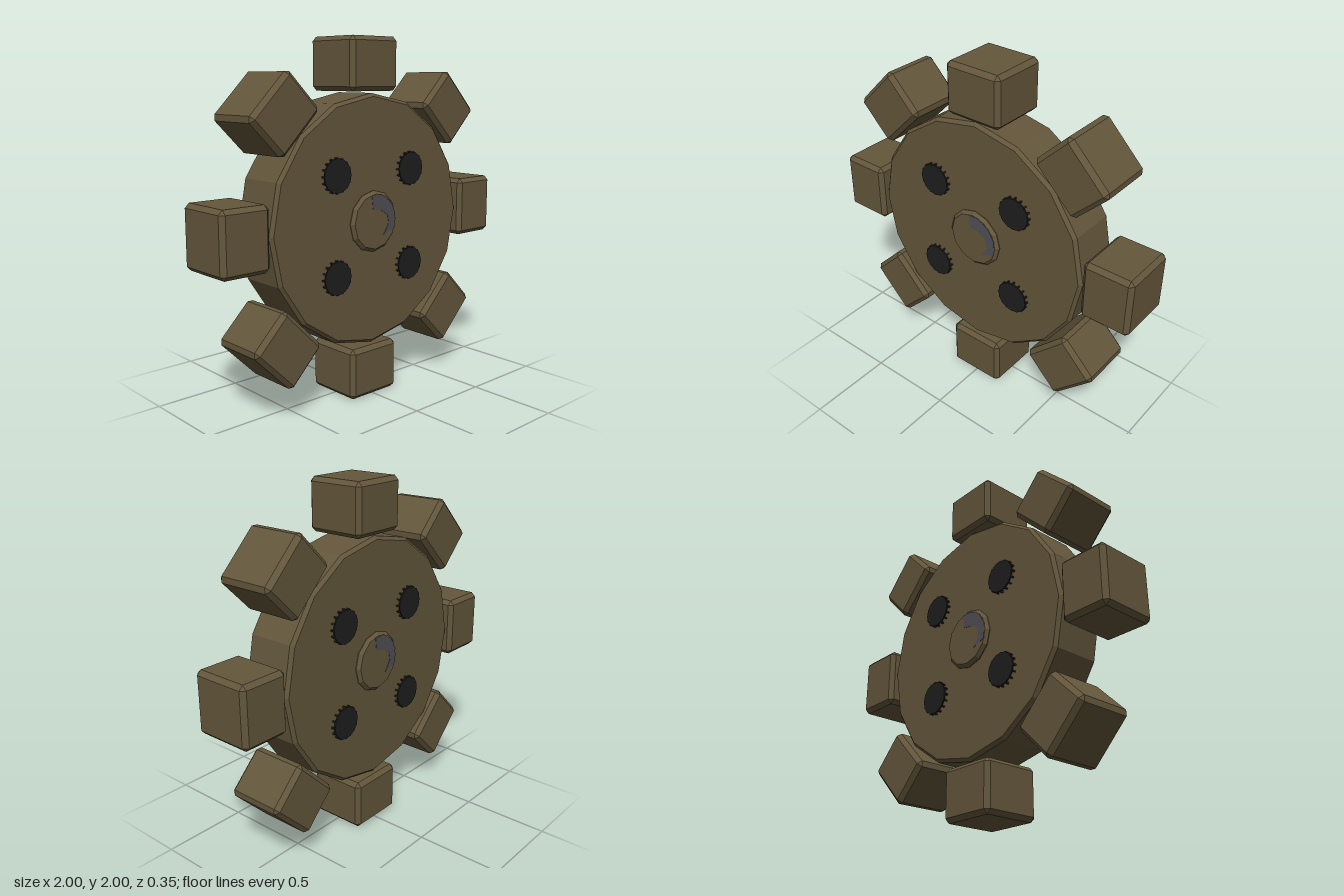
import * as THREE from 'three';
import { ConvexGeometry } from 'three/addons/geometries/ConvexGeometry.js';

const mat = (name, color) => {
  const m = new THREE.MeshStandardMaterial({ color });
  m.name = name;
  return m;
};

// Box with flat chamfers on every edge
function chamferBox(w, h, d, c) {
  const pts = [];
  for (const sx of [-1, 1]) for (const sy of [-1, 1]) for (const sz of [-1, 1]) {
    const x = w / 2, y = h / 2, z = d / 2;
    pts.push(new THREE.Vector3(sx * x, sy * (y - c), sz * (z - c)));
    pts.push(new THREE.Vector3(sx * (x - c), sy * y, sz * (z - c)));
    pts.push(new THREE.Vector3(sx * (x - c), sy * (y - c), sz * z));
  }
  return new ConvexGeometry(pts);
}

// Faceted disc with chamfered rims, its axis along z
function chamferDisc(r, half, c, sides) {
  const profile = [[0, -half], [r - c, -half], [r, -half + c], [r, half - c], [r - c, half], [0, half]]
    .map(([x, y]) => new THREE.Vector2(x, y));
  const g = new THREE.LatheGeometry(profile, sides).toNonIndexed();
  g.computeVertexNormals();
  return g.rotateX(-Math.PI / 2);
}

export function createModel() {
  const olive = mat('olive metal', 0x63563b);
  const black = mat('black rubber', 0x1e1e1e);
  const grey = mat('grey steel', 0x504e54);

  const model = new THREE.Group();
  model.name = 'gearWheel';
  const wheel = new THREE.Group();
  wheel.name = 'wheel';
  wheel.position.y = 1;
  model.add(wheel);

  const add = (parent, name, geo, material) => {
    const mesh = new THREE.Mesh(geo, material);
    mesh.name = name;
    parent.add(mesh);
    return mesh;
  };

  // Main disc and centre hub
  add(wheel, 'disc', chamferDisc(0.7, 0.15, 0.018, 16), olive);
  add(wheel, 'hub', chamferDisc(0.172, 0.172, 0.018, 12), olive);

  // Eight blocks around the rim
  const toothGeo = chamferBox(0.345, 0.29, 0.345, 0.024);
  for (let i = 0; i < 8; i++) {
    const a = (i * Math.PI) / 4;
    const tooth = add(wheel, 'tooth', toothGeo, olive);
    tooth.position.set(-Math.sin(a) * 0.855, Math.cos(a) * 0.855, 0);
    tooth.rotation.z = a;
  }

  // Worn steel patch on the hub face
  const patch = new THREE.Shape([
    [-0.03, 0.148], [0.04, 0.148], [0.108, 0.108], [0.148, 0.04], [0.145, -0.05], [0.06, -0.08],
    [0.1, -0.02], [0.09, 0.03], [0.04, 0.06], [-0.02, 0.07],
  ].map(([x, y]) => new THREE.Vector2(x, y)));
  const patchGeo = new THREE.ExtrudeGeometry(patch, { depth: 0.003, bevelEnabled: false });

  // Bolt cap with a ring of short ribs behind it
  const capGeo = new THREE.CylinderGeometry(0.093, 0.093, 0.008, 16).rotateX(Math.PI / 2);
  const ribGeo = new THREE.BoxGeometry(0.012, 0.008, 0.03);

  for (const turn of [0, Math.PI]) {
    const face = new THREE.Group();
    face.name = turn ? 'backFittings' : 'frontFittings';
    face.rotation.y = turn;
    wheel.add(face);
    add(face, 'hubPatch', patchGeo, grey).position.z = 0.171;

    for (const sx of [-1, 1]) for (const sy of [-1, 1]) {
      const bolt = new THREE.Group();
      bolt.name = 'bolt';
      bolt.position.set(sx * 0.275, sy * 0.275, 0);
      face.add(bolt);
      add(bolt, 'boltCap', capGeo, black).position.z = 0.17;
      for (let i = 0; i < 16; i++) {
        const a = (i * Math.PI) / 8;
        const rib = add(bolt, 'boltRib', ribGeo, black);
        rib.position.set(Math.cos(a) * 0.09, Math.sin(a) * 0.09, 0.157);
        rib.rotation.z = a;
      }
    }
  }
  return model;
}
